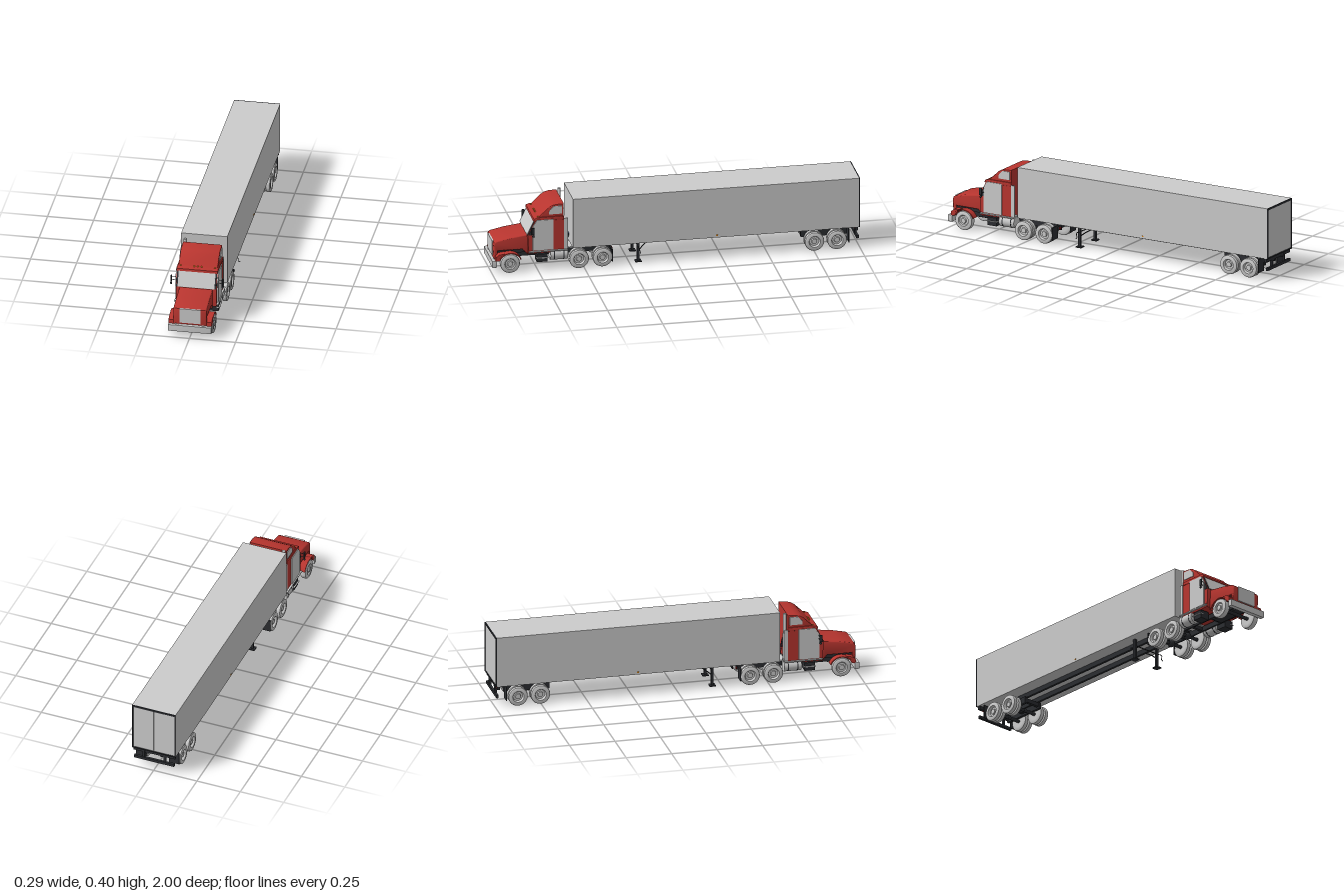
import * as THREE from 'three';
import { toCreasedNormals } from 'three/addons/utils/BufferGeometryUtils.js';

const mat = (color) => new THREE.MeshStandardMaterial({ color, side: THREE.DoubleSide });
const GREY = mat(0xcccccc), RED = mat(0xb8352f), DARK = mat(0x2b2d31);
const AMBER = mat(0xe08a1e), LAMP = mat(0xa02020), BLUE = mat(0x30508c);

export function createModel() {
  const root = new THREE.Group();
  const group = (name, parent = root) => {
    const g = new THREE.Group();
    g.name = name;
    parent.add(g);
    return g;
  };
  const add = (parent, name, geometry, material) => {
    const m = new THREE.Mesh(geometry, material);
    m.name = name;
    parent.add(m);
    return m;
  };
  // Box given by its extents on each axis
  const box = (p, name, material, x0, x1, y0, y1, z0, z1) =>
    add(p, name, new THREE.BoxGeometry(Math.abs(x1 - x0), y1 - y0, Math.abs(z1 - z0))
      .translate((x0 + x1) / 2, (y0 + y1) / 2, (z0 + z1) / 2), material);
  // Side profile of [z, y] points, extruded across x
  const profile = (p, name, material, pts, x0, x1, bevel = 0) => {
    const w = Math.abs(x1 - x0) - 2 * bevel;
    const g = new THREE.ExtrudeGeometry(new THREE.Shape(pts.map(([z, y]) => new THREE.Vector2(z, y))), {
      depth: w, bevelEnabled: bevel > 0, bevelSize: bevel, bevelThickness: bevel, bevelOffset: -bevel, bevelSegments: 3,
    });
    g.translate(0, 0, -w / 2).rotateY(-Math.PI / 2).translate((x0 + x1) / 2, 0, 0);
    return add(p, name, toCreasedNormals(g, 0.6), material);
  };
  const cyl = (p, name, material, r, len, axis, x, y, z, seg = 24) => {
    const g = new THREE.CylinderGeometry(r, r, len, seg);
    if (axis === 'x') g.rotateZ(Math.PI / 2);
    if (axis === 'z') g.rotateX(Math.PI / 2);
    return add(p, name, g.translate(x, y, z), material);
  };
  const tube = (p, name, material, pts, r) =>
    add(p, name, new THREE.TubeGeometry(
      new THREE.CatmullRomCurve3(pts.map((v) => new THREE.Vector3(...v))), 24, r, 8), material);

  // Wheels: lathed tyre and dished rim, single at the front, dual elsewhere
  const wheelShape = (pts) => toCreasedNormals(new THREE.LatheGeometry(
    pts.map(([r, x]) => new THREE.Vector2(r, x)), 36).rotateZ(-Math.PI / 2), 0.6);
  const tyre = (a, b) => [[0.03, a], [0.046, a], [0.051, a + 0.003], [0.053, a + 0.008],
    [0.053, b - 0.008], [0.051, b - 0.003], [0.046, b], [0.031, b]];
  const rim = (b, dish) => [[0.029, b - 0.003], [0.026, b - dish], [0.016, b - dish],
    [0.014, b - dish + 0.008], [0, b - dish + 0.009]];
  const single = wheelShape([[0, 0.088], ...tyre(0.086, 0.12), ...rim(0.12, 0.007)]);
  const dual = wheelShape([[0, 0.07], ...tyre(0.068, 0.094), ...tyre(0.099, 0.125), ...rim(0.125, 0.014)]);
  const axles = group('axles');
  [[0.903, single], [0.528, dual], [0.4, dual], [-0.753, dual], [-0.876, dual]].forEach(([z, geo], i) => {
    for (const s of [0, 1]) {
      const w = add(axles, i ? 'dualWheel' : 'frontWheel', geo, GREY);
      w.position.set(0, 0.053, z);
      w.rotation.y = s * Math.PI;
    }
    cyl(axles, 'axle', DARK, 0.009, 0.18, 'x', 0, 0.053, z, 12);
    if (i) add(axles, 'differential', new THREE.SphereGeometry(i < 3 ? 0.02 : 0.012, 16, 12)
      .translate(0, 0.053, z), DARK);
  });

  // Trailer
  const trailer = group('trailer');
  box(trailer, 'cargoBox', GREY, -0.125, 0.125, 0.12, 0.4, -0.994, 0.563);
  const frame = new THREE.Shape([[-0.125, 0.12], [0.125, 0.12], [0.125, 0.4], [-0.125, 0.4]].map((v) => new THREE.Vector2(...v)));
  frame.holes.push(new THREE.Path([[-0.119, 0.126], [-0.119, 0.39], [0.119, 0.39], [0.119, 0.126]].map((v) => new THREE.Vector2(...v))));
  add(trailer, 'rearDoorFrame', new THREE.ExtrudeGeometry(frame, { depth: 0.006, bevelEnabled: false })
    .translate(0, 0, -1), DARK);
  for (const s of [-1, 1]) {
    box(trailer, 'rearDoor', GREY, s * 0.0005, s * 0.118, 0.127, 0.389, -0.997, -0.993);
    box(trailer, 'chassisRail', DARK, s * 0.035, s * 0.048, 0.094, 0.12, -0.99, 0.55);
    box(trailer, 'bogieRail', DARK, s * 0.044, s * 0.058, 0.06, 0.097, -0.94, -0.69);
    box(trailer, 'rearMudFlap', DARK, s * 0.066, s * 0.124, 0.035, 0.11, -0.942, -0.938);
    box(trailer, 'bumperStrut', DARK, s * 0.055, s * 0.067, 0.055, 0.12, -0.992, -0.98);
    box(trailer, 'tailLamp', LAMP, s * 0.075, s * 0.095, 0.1, 0.112, -0.99, -0.975);
    box(trailer, 'sideMarker', AMBER, s * 0.124, s * 0.127, 0.13, 0.136, -0.225, -0.215);
    // Landing leg with foot and brace
    box(trailer, 'landingLeg', DARK, s * 0.072, s * 0.086, 0.005, 0.12, 0.193, 0.207);
    box(trailer, 'landingFoot', DARK, s * 0.062, s * 0.096, 0, 0.006, 0.183, 0.217);
    tube(trailer, 'legBrace', DARK, [[s * 0.079, 0.06, 0.2], [s * 0.06, 0.09, 0.16], [s * 0.042, 0.11, 0.12]], 0.003);
  }
  cyl(trailer, 'legCrossShaft', DARK, 0.003, 0.16, 'x', 0, 0.085, 0.2, 8);
  tube(trailer, 'crankHandle', DARK, [[0.08, 0.085, 0.2], [0.115, 0.085, 0.2], [0.118, 0.065, 0.195], [0.128, 0.06, 0.195]], 0.002);
  box(trailer, 'rearBumper', DARK, -0.115, 0.115, 0.052, 0.068, -0.995, -0.982);
  box(trailer, 'rearCrossMember', DARK, -0.12, 0.12, 0.1, 0.12, -0.99, -0.975);
  for (const z of [-0.93, -0.815, -0.7]) box(trailer, 'bogieCrossMember', DARK, -0.058, 0.058, 0.07, 0.092, z - 0.008, z + 0.008);

  // Tractor chassis
  const chassis = group('chassis');
  for (const s of [-1, 1]) {
    box(chassis, 'frameRail', DARK, s * 0.033, s * 0.043, 0.065, 0.092, 0.34, 0.97);
    box(chassis, 'mudFlap', DARK, s * 0.066, s * 0.122, 0.025, 0.095, 0.346, 0.35);
    box(chassis, 'mudFlapBracket', DARK, s * 0.04, s * 0.122, 0.088, 0.095, 0.345, 0.352);
    cyl(chassis, 'fuelTank', GREY, 0.032, 0.094, 'z', s * 0.087, 0.082, 0.636, 32);
    for (const z of [0.61, 0.662]) cyl(chassis, 'tankStrap', DARK, 0.0328, 0.005, 'z', s * 0.087, 0.082, z, 32);
    box(chassis, 'stepBox', DARK, s * 0.06, s * 0.113, 0.05, 0.095, 0.7, 0.757);
    box(chassis, 'step', GREY, s * 0.08, s * 0.12, 0.108, 0.114, 0.59, 0.8);
    box(chassis, 'lowerStep', GREY, s * 0.1, s * 0.12, 0.072, 0.076, 0.695, 0.76);
    box(chassis, 'tractorTailLamp', LAMP, s * 0.045, s * 0.06, 0.074, 0.084, 0.336, 0.342);
  }
  for (const z of [0.36, 0.464, 0.6, 0.75, 0.95]) box(chassis, 'crossMember', DARK, -0.035, 0.035, 0.068, 0.088, z - 0.008, z + 0.008);
  box(chassis, 'fifthWheel', DARK, -0.045, 0.045, 0.09, 0.097, 0.42, 0.51);
  box(chassis, 'engineBlock', DARK, -0.03, 0.03, 0.06, 0.1, 0.76, 0.94);
  box(chassis, 'deckPlate', GREY, -0.045, 0.045, 0.092, 0.097, 0.53, 0.61);
  profile(chassis, 'frontBumper', GREY, [[0.975, 0.037], [1, 0.037], [1, 0.073], [0.975, 0.073]], -0.118, 0.118, 0.001);
  for (const s of [-1, 1]) cyl(chassis, 'exhaustMount', GREY, 0.005, 0.03, 'z', s * 0.09, 0.12, 0.598, 12);
  cyl(chassis, 'exhaustStack', GREY, 0.009, 0.275, 'y', -0.097, 0.245, 0.595);
  cyl(chassis, 'exhaustShield', GREY, 0.011, 0.14, 'y', -0.097, 0.2, 0.595);

  // Cab, sloped roof fairing and hood
  const cab = group('cab');
  profile(cab, 'cabBody', RED, [[0.61, 0.1], [0.8, 0.1], [0.806, 0.203], [0.767, 0.288], [0.61, 0.288]], -0.11, 0.11);
  profile(cab, 'roofCap', RED, [[0.61, 0.284], [0.776, 0.284], [0.773, 0.296], [0.755, 0.303], [0.61, 0.303]], -0.112, 0.112, 0.002);
  profile(cab, 'roofFairing', RED, [[0.61, 0.3], [0.75, 0.3], [0.695, 0.353], [0.675, 0.365], [0.65, 0.371], [0.61, 0.373]], -0.106, 0.106, 0.003);
  profile(cab, 'hood', RED, [[0.8, 0.085], [0.83, 0.12], [0.965, 0.12], [0.965, 0.076], [0.985, 0.076], [0.988, 0.155],
    [0.984, 0.167], [0.973, 0.175], [0.9, 0.19], [0.8, 0.203]], -0.09, 0.09, 0.006);
  box(cab, 'hoodUnderside', DARK, -0.08, 0.08, 0.1, 0.125, 0.81, 0.965);
  box(cab, 'grille', GREY, -0.057, 0.057, 0.086, 0.169, 0.975, 0.991);
  const slope = [[0.8075, 0.205], [0.7685, 0.286], [0.766, 0.285], [0.804, 0.204]];
  profile(cab, 'windshieldTrim', DARK, slope, -0.108, 0.108);
  profile(cab, 'windshield', GREY, slope.map(([z, y]) => [z + 0.0015, y + 0.0005]), -0.1, 0.1);
  for (const x of [-0.093, -0.02, 0, 0.02, 0.093]) box(cab, 'roofLamp', AMBER, x - 0.004, x + 0.004, 0.301, 0.306, 0.745, 0.753);

  for (const s of [-1, 1]) {
    profile(cab, 'door', GREY, [[0.668, 0.118], [0.78, 0.118], [0.78, 0.255], [0.757, 0.29], [0.668, 0.29]], s * 0.109, s * 0.116);
    profile(cab, 'quarterWindow', DARK, [[0.783, 0.205], [0.803, 0.205], [0.786, 0.243], [0.783, 0.247]], s * 0.109, s * 0.112);
    profile(cab, 'fairingSidePanel', GREY, [[0.62, 0.317], [0.69, 0.317], [0.69, 0.335], [0.665, 0.362], [0.62, 0.362]], s * 0.105, s * 0.11);
    box(cab, 'cabSideExtender', GREY, s * 0.106, s * 0.112, 0.115, 0.29, 0.588, 0.61);

    // Fender arch with its front corner
    const arch = [];
    for (let i = 0; i <= 16; i++) {
      const a = 0.35 + (i / 16) * 2.45;
      arch.push([0.903 + 0.066 * Math.cos(a), 0.053 + 0.061 * Math.sin(a)]);
    }
    for (let i = 16; i >= 0; i--) {
      const a = 0.35 + (i / 16) * 2.45;
      arch.push([0.903 + 0.06 * Math.cos(a), 0.053 + 0.056 * Math.sin(a)]);
    }
    profile(cab, 'fender', RED, arch, s * 0.08, s * 0.118);
    profile(cab, 'fenderCorner', RED, [[0.962, 0.072], [0.982, 0.072], [0.98, 0.095], [0.962, 0.108], [0.93, 0.112], [0.953, 0.095]], s * 0.08, s * 0.117);
    box(cab, 'headlamp', GREY, s * 0.06, s * 0.08, 0.072, 0.077, 0.97, 0.987);

    // Mirror on two arms with a round lower mirror
    box(cab, 'mirror', DARK, s * 0.136, s * 0.142, 0.218, 0.257, 0.775, 0.79);
    for (const y of [0.229, 0.248]) cyl(cab, 'mirrorArm', DARK, 0.0015, 0.034, 'x', s * 0.125, y, 0.778, 8);
    add(cab, 'roundMirror', new THREE.SphereGeometry(0.0065, 16, 12).translate(s * 0.14, 0.21, 0.782), DARK);
  }

  // Air and power lines between cab and trailer
  [RED, BLUE, DARK].forEach((m, i) => {
    const x = (i - 1) * 0.015;
    tube(root, 'airLine', m, [[x, 0.2, 0.61], [x + 0.004, 0.15, 0.598], [x - 0.004, 0.125, 0.585],
      [x + 0.003, 0.135, 0.573], [x, 0.165, 0.563]], 0.002);
  });
  return root;
}
